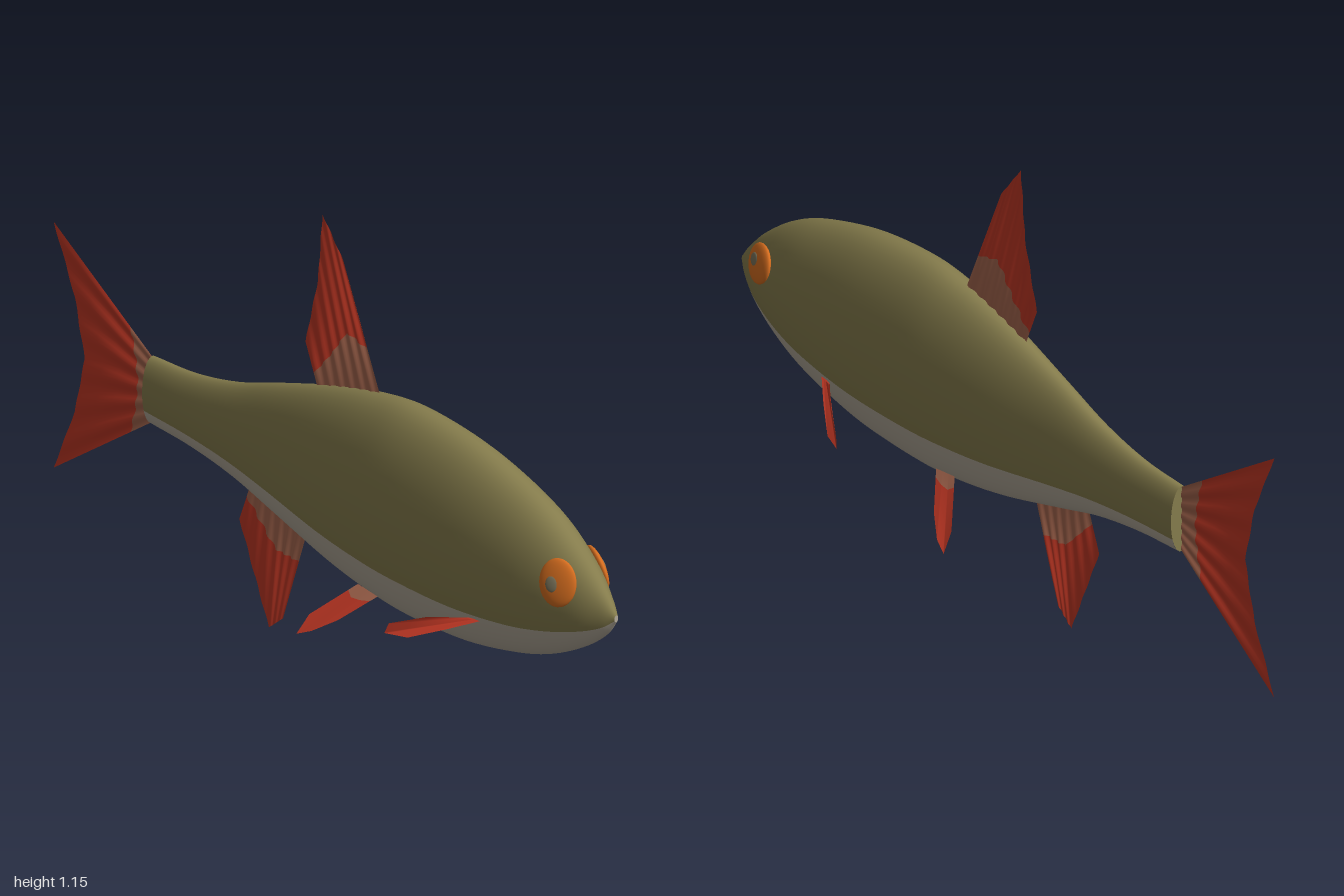
import * as THREE from 'three';

const mat = (name, color, side = THREE.FrontSide) => {
  const m = new THREE.MeshStandardMaterial({ color, side });
  m.name = name;
  return m;
};

// Point at fraction s along an evenly spaced polyline
function along(points, s) {
  const f = s * (points.length - 1);
  const i = Math.min(Math.floor(f), points.length - 2);
  return new THREE.Vector3(...points[i]).lerp(new THREE.Vector3(...points[i + 1]), f - i);
}

// Grid surface with two material groups, chosen by cell
function gridGeometry(positions, cells) {
  const geo = new THREE.BufferGeometry();
  geo.setAttribute('position', new THREE.Float32BufferAttribute(positions, 3));
  geo.setIndex([...cells[0], ...cells[1]]);
  geo.addGroup(0, cells[0].length, 0);
  geo.addGroup(cells[0].length, cells[1].length, 1);
  geo.computeVertexNormals();
  return geo;
}

// Elliptical cross-sections lofted from tail to snout, split into back and belly
function bodyGeometry() {
  const stations = [ // x, top, bottom, half width
    [-0.65, 0.565, 0.39, 0.032], [-0.5, 0.574, 0.38, 0.036], [-0.35, 0.605, 0.356, 0.044],
    [-0.2, 0.657, 0.315, 0.056], [0, 0.722, 0.262, 0.08], [0.16, 0.761, 0.235, 0.096],
    [0.3, 0.776, 0.225, 0.104], [0.5, 0.758, 0.234, 0.105], [0.68, 0.711, 0.27, 0.096],
    [0.8, 0.66, 0.312, 0.08], [0.9, 0.59, 0.367, 0.055], [0.965, 0.526, 0.418, 0.027],
    [1, 0.482, 0.464, 0.006],
  ];
  const outline = new THREE.CatmullRomCurve3(
    stations.map(([x, t, b]) => new THREE.Vector3(x, t, b)), false, 'catmullrom');
  const width = new THREE.CatmullRomCurve3(
    stations.map(([x, , , w]) => new THREE.Vector3(x, w, 0)), false, 'catmullrom');
  const rings = 72, backSegs = 30, segs = 44;
  const start = -0.58, end = Math.PI + 0.58;
  const positions = [], cells = [[], []];
  for (let i = 0; i <= rings; i++) {
    const p = outline.getPoint(i / rings), w = width.getPoint(i / rings).y;
    for (let j = 0; j < segs; j++) {
      const a = j <= backSegs
        ? start + (end - start) * j / backSegs
        : end + (2 * Math.PI + start - end) * (j - backSegs) / (segs - backSegs);
      positions.push(p.x, (p.y + p.z) / 2 + (p.y - p.z) / 2 * Math.sin(a), w * Math.cos(a));
      if (i === rings) continue;
      const k = (j + 1) % segs;
      const a0 = i * segs + j, a1 = i * segs + k, b0 = a0 + segs, b1 = a1 + segs;
      cells[j < backSegs ? 0 : 1].push(a0, b0, b1, a0, b1, a1);
    }
  }
  return gridGeometry(positions, cells);
}

// Thin fin ruled from its root line to its outer edge, gently pleated along the rays
function finGeometry(root, edge, rootPart, pleat) {
  const rays = 48, rows = [0, rootPart / 2, rootPart, 0.5, 0.75, 1];
  const positions = [], cells = [[], []];
  rows.forEach((t, r) => {
    for (let j = 0; j <= rays; j++) {
      const p = along(root, j / rays).lerp(along(edge, j / rays), t);
      p.z += pleat * Math.sin(j / rays * Math.PI * 12) * Math.sin(Math.PI * (0.15 + 0.75 * t));
      positions.push(p.x, p.y, p.z);
      if (r === rows.length - 1 || j === rays) continue;
      const a = r * (rays + 1) + j, b = a + rays + 1;
      cells[r < 2 ? 0 : 1].push(a, a + 1, b + 1, a, b + 1, b);
    }
  });
  return gridGeometry(positions, cells);
}

export function createModel() {
  const olive = mat('olive back', 0x857c4c);
  const grey = mat('grey belly', 0xb0a797);
  const red = mat('red fin', 0xc03724, THREE.DoubleSide);
  const brown = mat('brown fin root', 0xa5664e, THREE.DoubleSide);
  const orange = mat('orange eye', 0xd56d1f);
  const pupilGrey = mat('grey pupil', 0x7a735a);

  const model = new THREE.Group();
  const add = (name, geometry, material, parent = model) => {
    const mesh = new THREE.Mesh(geometry, material);
    mesh.name = name;
    parent.add(mesh);
    return mesh;
  };

  // Body, closed at the tail stem and the mouth
  add('body', bodyGeometry(), [olive, grey]);
  const stem = add('tailStemCap', new THREE.CircleGeometry(1, 32).rotateY(-Math.PI / 2), olive);
  stem.scale.set(1, 0.0875, 0.032);
  stem.position.set(-0.65, 0.4775, 0);
  const mouth = add('mouth', new THREE.CircleGeometry(1, 24).rotateY(Math.PI / 2), grey);
  mouth.scale.set(1, 0.009, 0.006);
  mouth.position.set(1, 0.473, 0);

  // Fins on the centre line
  const finMaterials = [brown, red];
  add('tailFin', finGeometry(
    [[-0.645, 0.56, 0], [-0.645, 0.395, 0]],
    [[-1, 0.79, 0], [-0.925, 0.62, 0], [-0.89, 0.47, 0], [-0.925, 0.32, 0], [-1, 0.145, 0]],
    0.23, 0.004), finMaterials);
  add('dorsalFin', finGeometry(
    [[-0.06, 0.69, 0], [0.16, 0.755, 0]],
    [[-0.105, 0.8, 0], [-0.06, 0.98, 0], [-0.045, 1.157, 0], [0.03, 1.06, 0]],
    0.34, 0.004), finMaterials);
  add('analFin', finGeometry(
    [[-0.3, 0.355, 0], [-0.1, 0.3, 0]],
    [[-0.34, 0.25, 0], [-0.235, 0.003, 0], [-0.185, 0.045, 0]],
    0.34, 0.004), finMaterials);

  // Paired fins and eyes
  for (const [side, s] of [['left', 1], ['right', -1]]) {
    const mirror = points => points.map(([x, y, z]) => [x, y, z * s]);
    add(side + 'PelvicFin', finGeometry(
      mirror([[0.14, 0.27, 0.052], [0.21, 0.262, 0.052]]),
      mirror([[0.055, 0.185, 0.13], [0.045, 0.14, 0.162], [0.085, 0.158, 0.15], [0.14, 0.195, 0.115]]),
      0.2, 0), finMaterials);
    add(side + 'PectoralFin', finGeometry(
      mirror([[0.57, 0.348, 0.085], [0.61, 0.352, 0.078]]),
      mirror([[0.49, 0.34, 0.145], [0.41, 0.31, 0.194], [0.4, 0.283, 0.2], [0.46, 0.286, 0.18], [0.54, 0.32, 0.128]]),
      0.05, 0), [red, red]);

    const eye = new THREE.Group();
    eye.name = side + 'Eye';
    eye.position.set(0.862, 0.538, 0.062 * s);
    eye.quaternion.setFromUnitVectors(
      new THREE.Vector3(0, 0, 1), new THREE.Vector3(0.33, 0.2, s).normalize());
    model.add(eye);
    const ball = new THREE.SphereGeometry(1, 32, 20);
    add('iris', ball, orange, eye).scale.set(0.05, 0.06, 0.014);
    const pupil = add('pupil', ball, pupilGrey, eye);
    pupil.scale.set(0.017, 0.02, 0.004);
    pupil.position.set(-0.01 * s, -0.004, 0.012);
    if (s < 0) pupil.position.x = 0.01 * -Math.sign(Math.cos(eye.rotation.y));
  }
  return model;
}
